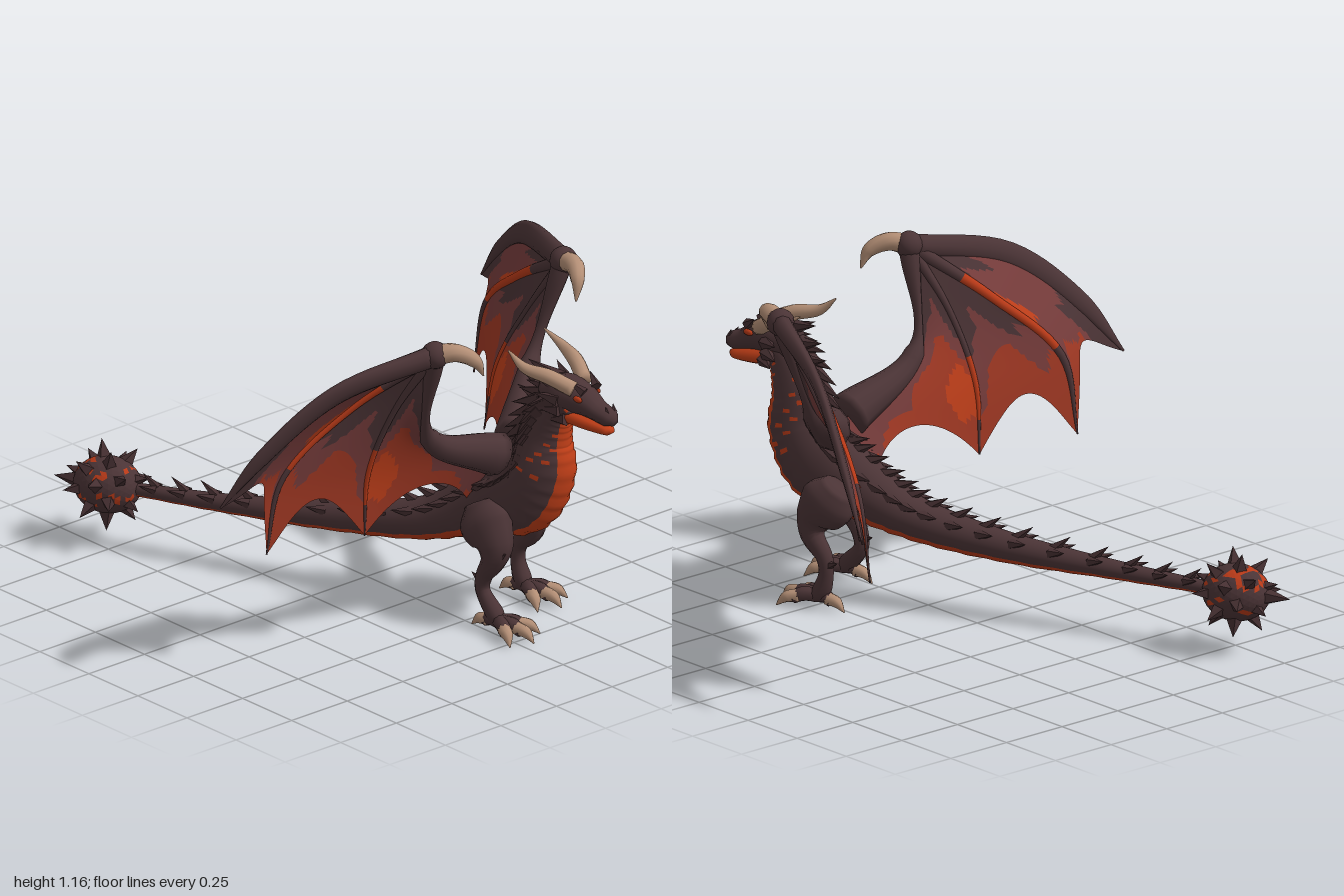
import * as THREE from 'three';

const V = (a) => new THREE.Vector3(a[0], a[1], a[2]);
const mat = (name, color, side = THREE.FrontSide) => {
  const m = new THREE.MeshStandardMaterial({ color, side });
  m.name = name;
  return m;
};
const LATERAL = V([0.42, 0, 0.907]);

export function createModel() {
  const root = new THREE.Group();
  root.name = 'dragon';
  const skin = mat('darkSkin', 0x4b3436);
  const spikeMat = mat('spikeBrown', 0x452f31);
  const belly = mat('bellyOrange', 0xc23f18);
  const lava = mat('lavaRed', 0xb93a18);
  const horn = mat('hornTan', 0xb48f76);
  const webDark = mat('webDark', 0x4a3335, THREE.DoubleSide);
  const webMaroon = mat('webMaroon', 0x763c3b, THREE.DoubleSide);
  const webRed = mat('webRed', 0xa03823, THREE.DoubleSide);
  const webLava = mat('webLava', 0xc03f1a, THREE.DoubleSide);

  const add = (name, geo, material, parent = root) => {
    const m = new THREE.Mesh(geo, material);
    m.name = name;
    parent.add(m);
    return m;
  };

  // Indexed geometry with one group per material
  const grouped = (pos, bins) => {
    const g = new THREE.BufferGeometry();
    g.setAttribute('position', new THREE.Float32BufferAttribute(pos, 3));
    g.setIndex(bins.flat());
    let start = 0;
    bins.forEach((b, i) => { g.addGroup(start, b.length, i); start += b.length; });
    g.computeVertexNormals();
    return g;
  };

  const frame = (curve, t, ref) => {
    const T = curve.getTangent(t);
    const side = ref.clone().addScaledVector(T, -ref.dot(T)).normalize();
    return { p: curve.getPoint(t), T, side, n: new THREE.Vector3().crossVectors(side, T) };
  };
  const curveOf = (pts) => new THREE.CatmullRomCurve3(pts.map(V));
  const radiiOf = (pts) => new THREE.CatmullRomCurve3(pts.map((p) => V([p[3], p[4] ?? p[3], 0])));

  // Elliptical loft through points [x, y, z, sideRadius, normalRadius]
  const loft = (name, pts, mats, o = {}) => {
    const { parent = root, ref = LATERAL, seg = pts.length * 4, sides = 10, pick = () => 0, swell = () => 1 } = o;
    const bins = mats.map(() => []), pos = [];
    const curve = curveOf(pts), radii = radiiOf(pts);
    for (let i = 0; i <= seg; i++) {
      const t = i / seg, f = frame(curve, t, ref), r = radii.getPoint(t);
      for (let j = 0; j < sides; j++) {
        const a = (j / sides) * Math.PI * 2, k = swell(t, Math.sin(a));
        const q = f.p.clone().addScaledVector(f.side, Math.cos(a) * Math.max(r.x, 0.001) * k)
          .addScaledVector(f.n, Math.sin(a) * Math.max(r.y, 0.001) * k);
        pos.push(q.x, q.y, q.z);
      }
    }
    for (let i = 0; i < seg; i++) for (let j = 0; j < sides; j++) {
      const a = i * sides + j, b = i * sides + (j + 1) % sides, c = a + sides, d = b + sides;
      bins[pick((i + 0.5) / seg, Math.sin(((j + 0.5) / sides) * Math.PI * 2), j)].push(a, c, b, b, c, d);
    }
    // End caps
    const c0 = pos.length / 3, last = seg * sides;
    const s = curve.getPoint(0), e = curve.getPoint(1);
    pos.push(s.x, s.y, s.z, e.x, e.y, e.z);
    for (let j = 0; j < sides; j++) {
      const k = (j + 1) % sides;
      bins[0].push(c0, j, k, c0 + 1, last + k, last + j);
    }
    add(name, grouped(pos, bins), mats, parent);
  };
  const solid = (name, pts, m, o) => loft(name, pts, [m], o);

  // Faceted pointed scale leaning along a direction
  const spike = (name, base, dir, len, r, parent = root, sides = 5) => {
    const geo = new THREE.ConeGeometry(r, len, sides).toNonIndexed();
    geo.computeVertexNormals();
    const m = add(name, geo, spikeMat, parent), d = dir.clone().normalize();
    m.quaternion.setFromUnitVectors(new THREE.Vector3(0, 1, 0), d);
    m.position.copy(base).addScaledVector(d, len * 0.4);
  };

  // Tail, trunk and neck with a plated underside
  const bodyPts = [
    [-0.72, 0.22, 0.425, 0.022, 0.022], [-0.4, 0.232, 0.29, 0.034, 0.032], [0, 0.262, 0.105, 0.055, 0.054],
    [0.3, 0.318, -0.03, 0.078, 0.076], [0.46, 0.4, -0.115, 0.1, 0.11], [0.6, 0.47, -0.165, 0.112, 0.145],
    [0.675, 0.58, -0.188, 0.1, 0.122], [0.69, 0.7, -0.195, 0.077, 0.093],
    [0.73, 0.8, -0.2, 0.062, 0.073], [0.8, 0.86, -0.21, 0.05, 0.055],
  ];
  loft('body', bodyPts, [skin, belly, lava], {
    seg: 90, sides: 24,
    pick: (t, s, j) => {
      if (s < (t < 0.5 ? -0.45 : -0.65)) return t < 0.5 ? 2 : 1;
      return s < 0.5 && t > 0.62 && Math.sin(t * 90 + j * 4) > 0.985 ? 2 : 0;
    },
    swell: (t, s) => (s < -0.5 ? 1 + 0.07 * ((t * 30) % 1) : 1),
  });
  const spine = curveOf(bodyPts), spineR = radiiOf(bodyPts);
  const backSpikes = new THREE.Group();
  backSpikes.name = 'backSpikes';
  root.add(backSpikes);
  for (let i = 0; i < 27; i++) {
    const t = 0.03 + (i / 26) * 0.92, f = frame(spine, t, LATERAL), r = spineR.getPoint(t);
    [90, 40, 140].forEach((deg, row) => {
      const a = THREE.MathUtils.degToRad(deg), len = row ? 0.06 + 0.045 * t : 0.07 + 0.06 * t;
      const out = f.side.clone().multiplyScalar(Math.cos(a)).addScaledVector(f.n, Math.sin(a));
      const base = f.p.clone().addScaledVector(f.side, Math.cos(a) * r.x * 0.86).addScaledVector(f.n, Math.sin(a) * r.y * 0.86);
      spike(row ? 'sideScale' : 'spineSpike', base, out.addScaledVector(f.T, row ? -2 : -1.1), len, 0.017 + 0.018 * t, backSpikes);
    });
  }

  // Spiked tail club with glowing cracks
  const club = new THREE.Group();
  club.name = 'tailClub';
  club.position.set(-0.8, 0.22, 0.46);
  club.rotation.y = 0.436;
  root.add(club);
  const core = new THREE.IcosahedronGeometry(0.104, 5), cp = core.attributes.position;
  const coreBins = [[], []];
  for (let i = 0; i < cp.count; i += 3) {
    const x = cp.getX(i), y = cp.getY(i), z = cp.getZ(i);
    const crack = Math.abs(Math.sin(y * 30 + 1 + 0.7 * Math.sin(x * 45 + z * 30))) < 0.2;
    coreBins[crack ? 1 : 0].push(i, i + 1, i + 2);
  }
  add('clubCore', grouped(Array.from(cp.array), coreBins), [skin, lava], club).scale.set(1.15, 0.95, 0.95);
  for (let i = 0; i < 22; i++) {
    const y = 1 - (2 * (i + 0.5)) / 22, a = i * 2.39996, h = Math.sqrt(1 - y * y);
    const d = V([y, h * Math.cos(a), h * Math.sin(a)]);
    spike('clubSpike', d.clone().multiplyScalar(0.078), d, 0.088, 0.038, club, 4);
  }
  spike('clubTip', V([-0.09, 0, 0]), V([-1, 0, 0]), 0.12, 0.042, club);

  // Head, jaw, horns, eyes and frill
  const head = new THREE.Group();
  head.name = 'head';
  root.add(head);
  solid('skull', [
    [0.7, 0.86, -0.195, 0.05, 0.055], [0.78, 0.88, -0.21, 0.068, 0.064], [0.85, 0.87, -0.225, 0.059, 0.054],
    [0.91, 0.845, -0.238, 0.044, 0.036], [0.96, 0.828, -0.248, 0.036, 0.031], [0.98, 0.815, -0.253, 0.014, 0.013],
  ], skin, { parent: head, sides: 12 });
  solid('jaw', [[0.77, 0.81, -0.208, 0.05, 0.034], [0.87, 0.795, -0.23, 0.043, 0.029], [0.95, 0.785, -0.247, 0.028, 0.02],
    [0.97, 0.785, -0.25, 0.01, 0.008]], belly, { parent: head });
  solid('rightHorn', [[0.845, 0.915, -0.185, 0.028], [0.77, 0.95, -0.14, 0.027], [0.69, 0.97, -0.1, 0.019],
    [0.63, 1.02, -0.08, 0.003]], horn, { parent: head });
  solid('leftHorn', [[0.81, 0.915, -0.265, 0.028], [0.73, 0.955, -0.295, 0.027], [0.65, 0.975, -0.312, 0.019],
    [0.57, 1.02, -0.295, 0.003]], horn, { parent: head });
  for (const s of [-1, 1]) {
    const at = (x, y, w) => V([x + 0.2 * w * s, y, -0.04 - 0.22 * x + w * s]);
    const eye = add('eye', new THREE.SphereGeometry(0.012, 8, 6), lava, head);
    eye.position.copy(at(0.86, 0.89, 0.051));
    eye.scale.set(2, 0.9, 0.8);
    spike('brow', at(0.87, 0.915, 0.036), V([-0.8, 0.5, 0.3 * s]), 0.07, 0.02, head);
    [[0.78, 0.87, 0.06, 0.1], [0.78, 0.83, 0.055, 0.09], [0.75, 0.91, 0.035, 0.11], [0.8, 0.8, 0.045, 0.07]].forEach(([x, y, w, l]) =>
      spike('cheekSpike', at(x, y, w), V([-1, (y - 0.84) * 5, 0.4 * s]), l, 0.026, head));
    spike('noseSpike', at(0.96, 0.85, 0.015), V([-0.4, 1, 0.2 * s]), 0.03, 0.012, head);
  }
  [0.74, 0.71, 0.685].forEach((x, i) => spike('napeSpike', V([x, 0.92 - i * 0.055, -0.2]), V([-1, 0.25, 0.1]), 0.15, 0.038, head));

  // Patch colour of each membrane panel: 0 dark, 1 maroon, 2 red, 3 bright
  const patch = [
    (u, v) => (u > 0.84 && v > 0.28 && v < 0.68 ? 3 : v < 0.3 || (u < 0.35 && v > 0.72) ? 0 : u > 0.45 && v > 0.86 ? 2 : 1),
    (u, v) => (v < 0.54 ? 0 : v < 0.74 ? 1 : 2),
    (u, v) => (u < 0.18 && v > 0.56 && v < 0.8 ? 3 : v < 0.36 || (u > 0.8 && v < 0.62) ? 0 : u < 0.45 && v > 0.5 ? 2 : v > 0.9 ? 2 : 1),
  ];

  // Wings: arm, three fingers, thumb claw and three membrane panels
  const wing = (name, w) => {
    const g = new THREE.Group();
    g.name = name;
    root.add(g);
    const bones = [w.f1, w.f2, w.f3, w.arm];
    const ref = V(w.f1.at(-1)).sub(V(w.f1[0])).cross(V(w.f3.at(-1)).sub(V(w.f1[0]))).normalize();
    const thick = (pts, rs) => pts.map((p, i) => [...p, ...rs[i]]);
    const o = { parent: g, ref, seg: 24 };
    solid('wingArm', thick(w.arm.slice(0, 3), [[0.036, 0.036], [0.036, 0.036], [0.07, 0.08]]), skin, o);
    solid('leadingFinger', thick(w.f1, [[0.036, 0.04], [0.02, 0.042], [0.016, 0.034], [0.003, 0.004]]), skin, o);
    loft('secondFinger', thick(w.f2, [[0.02, 0.024], [0.013, 0.016], [0.011, 0.014], [0.003, 0.003]]), [skin, lava],
      { ...o, pick: (t) => (t > 0.2 && t < 0.62 ? 1 : 0) });
    loft('thirdFinger', thick(w.f3, [[0.018, 0.02], [0.01, 0.011], [0.009, 0.01], [0.003, 0.003]]), [skin, lava],
      { ...o, pick: (t) => (t > 0.55 && t < 0.85 ? 1 : 0) });
    const knob = add('wrist', new THREE.SphereGeometry(0.048, 12, 8), skin, g);
    knob.position.copy(V(w.f1[0]));
    solid('thumbClaw', thick(w.claw, [[0.036], [0.032], [0.024], [0.003]]), horn, o);
    const N = 30, curves = bones.map(curveOf), sag = [0.25, 0.22, 0.2];
    for (let k = 0; k < 3; k++) {
      const pos = [], bins = [[], [], [], []];
      for (let i = 0; i <= N; i++) for (let j = 0; j <= N; j++) {
        const u = j / N, t = (i / N) * (1 - sag[k] * Math.sin(Math.PI * u));
        const p = curves[k].getPoint(t).lerp(curves[k + 1].getPoint(t), u);
        pos.push(p.x, p.y, p.z);
      }
      for (let i = 0; i < N; i++) for (let j = 0; j < N; j++) {
        const u = (j + 0.5) / N, y = (i + 0.5) / N;
        const v = y + 0.07 * Math.sin(9 * u + k * 2) + 0.04 * Math.sin(17 * u + 9 * y);
        const a = i * (N + 1) + j, c = a + N + 1;
        bins[patch[k](u + 0.05 * Math.sin(14 * y), v)].push(a, c, a + 1, a + 1, c, c + 1);
      }
      add('membrane', grouped(pos, bins), [webDark, webMaroon, webRed, webLava], g);
    }
  };
  const wl = [0.35, 1.12, -0.575], wr = [0.67, 1.12, 0.285];
  wing('leftWing', {
    f1: [wl, [-0.06, 1.035, -0.765], [-0.36, 0.835, -0.91], [-0.55, 0.655, -1]],
    f2: [wl, [0.02, 0.93, -0.66], [-0.27, 0.7, -0.77], [-0.35, 0.42, -0.79]],
    f3: [wl, [0.19, 0.9, -0.56], [0.05, 0.65, -0.54], [0.02, 0.41, -0.51]],
    arm: [wl, [0.325, 0.77, -0.45], [0.51, 0.62, -0.21], [0.39, 0.42, -0.17]],
    claw: [wl, [0.43, 1.13, -0.555], [0.485, 1.105, -0.52], [0.505, 1.04, -0.495]],
  });
  wing('rightWing', {
    f1: [wr, [0.56, 1.035, 0.64], [0.45, 0.835, 0.87], [0.37, 0.66, 0.985]],
    f2: [wr, [0.49, 0.93, 0.5], [0.385, 0.7, 0.72], [0.35, 0.42, 0.76]],
    f3: [wr, [0.55, 0.9, 0.36], [0.46, 0.65, 0.4], [0.43, 0.41, 0.39]],
    arm: [wr, [0.58, 0.77, 0.23], [0.57, 0.62, -0.08], [0.47, 0.42, -0.05]],
    claw: [wr, [0.72, 1.13, 0.235], [0.76, 1.1, 0.185], [0.77, 1.04, 0.155]],
  });

  // Legs with three front toes and one back toe
  const leg = (name, x, z, out, step) => {
    const g = new THREE.Group();
    g.name = name;
    root.add(g);
    const fx = x + step, fz = z + out, ax = x + step * 0.3 - 0.02;
    solid('legLimb', [
      [x - 0.03, 0.44, z, 0.045, 0.06], [x + 0.01, 0.38, z + out * 0.4, 0.068, 0.1], [x + 0.06, 0.315, z + out * 0.7, 0.056, 0.068],
      [x + 0.06, 0.26, z + out, 0.038, 0.044], [ax + 0.01, 0.195, fz, 0.026, 0.03], [ax, 0.14, fz, 0.024, 0.026],
      [fx - 0.02, 0.07, fz, 0.032, 0.033], [fx + 0.01, 0.04, fz, 0.025, 0.02],
    ], skin, { parent: g });
    [[-0.75, 0.085], [-0.15, 0.1], [0.45, 0.085], [2.95, 0.06]].forEach(([a, l]) => {
      const at = (d, y, r) => [fx + Math.cos(a) * d, y, fz + Math.sin(a) * d, r];
      solid('toe', [at(0, 0.05, 0.026), at(l * 0.6, 0.052, 0.025), at(l, 0.036, 0.02)], skin, { parent: g, sides: 8 });
      solid('toeClaw', [at(l * 0.75, 0.046, 0.024), at(l + 0.02, 0.04, 0.02), at(l + 0.055, 0.01, 0.002)], horn, { parent: g, sides: 8 });
    });
    spike('heelSpike', V([ax - 0.015, 0.17, fz]), V([-1, 0.4, 0]), 0.05, 0.018, g);
    spike('kneeSpike', V([x + 0.09, 0.28, fz]), V([0.7, 0.5, 0]), 0.05, 0.024, g);
  };
  leg('rightLeg', 0.56, -0.045, 0.025, 0.09);
  leg('leftLeg', 0.45, -0.25, -0.04, 0.035);

  return root;
}
